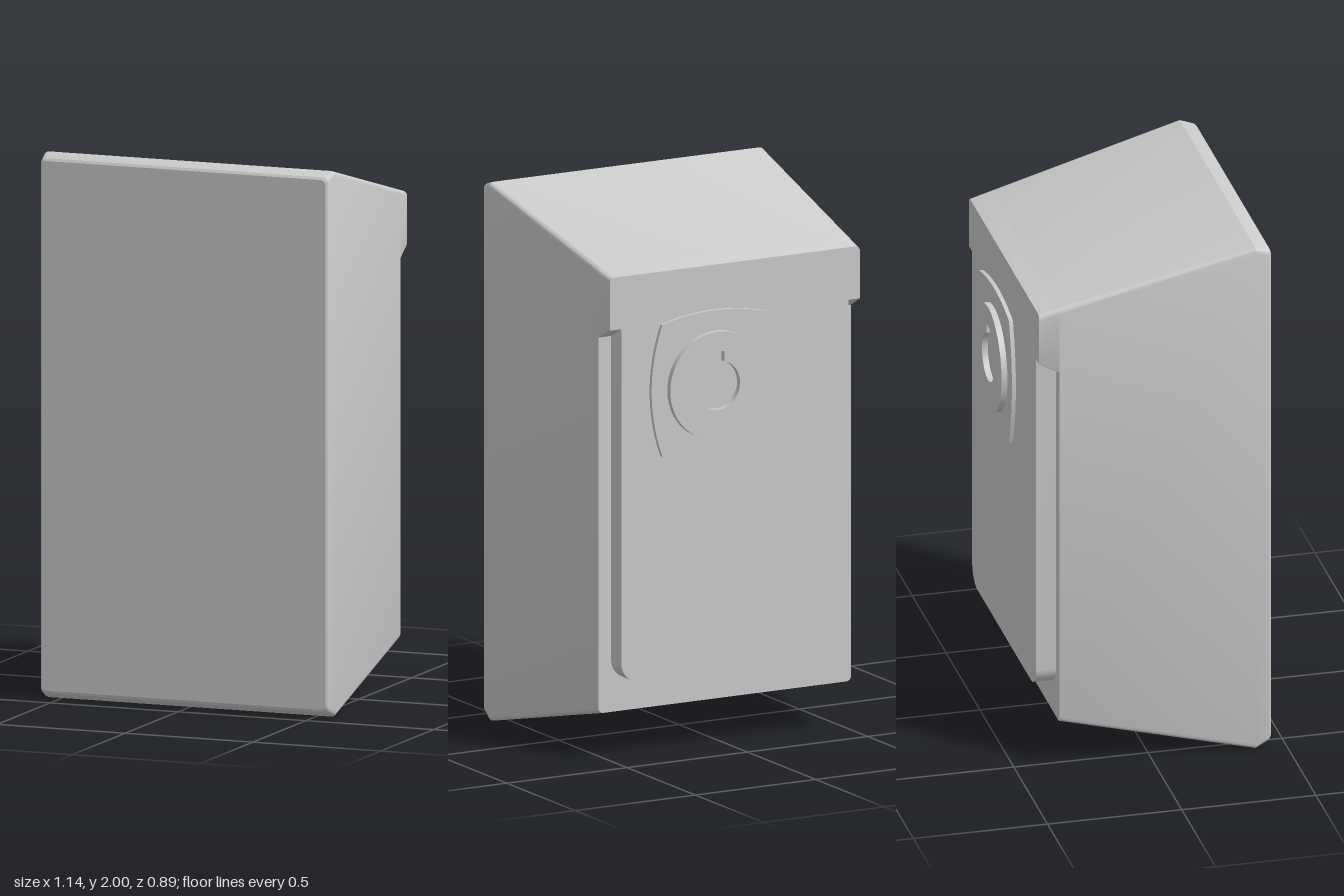
import * as THREE from 'three';
import { toCreasedNormals } from 'three/addons/utils/BufferGeometryUtils.js';

const material = new THREE.MeshStandardMaterial({ color: 0xcccccc });

// Rounded rectangle outline, counter-clockwise seen from +z
function ringPoints({ z, hw, y0, y1, rTop = 0.02, rBottom = 0.02 }) {
  const points = [];
  const corners = [[1, y0, rBottom, -90], [1, y1, rTop, 0], [-1, y1, rTop, 90], [-1, y0, rBottom, 180]];
  for (const [side, y, r, start] of corners) {
    const cx = side * (hw - r);
    const cy = y === y0 ? y + r : y - r;
    for (let i = 0; i <= 4; i++) {
      const a = THREE.MathUtils.degToRad(start + i * 22.5);
      points.push(new THREE.Vector3(cx + r * Math.cos(a), cy + r * Math.sin(a), z));
    }
  }
  return points;
}

// Closed solid through rings running from front to back
function loft(sections) {
  const rings = sections.map(ringPoints);
  const n = rings[0].length;
  const pos = [];
  const tri = (...vs) => vs.forEach((v) => pos.push(v.x, v.y, v.z));
  const centre = (s) => new THREE.Vector3(0, (s.y0 + s.y1) / 2, s.z);
  const last = rings.length - 1;
  for (let k = 0; k < n; k++) {
    const m = (k + 1) % n;
    for (let i = 0; i < last; i++) {
      const [a, b, c, d] = [rings[i][k], rings[i][m], rings[i + 1][m], rings[i + 1][k]];
      tri(a, d, c);
      tri(a, c, b);
    }
    tri(centre(sections[0]), rings[0][k], rings[0][m]);
    tri(centre(sections[last]), rings[last][m], rings[last][k]);
  }
  const geometry = new THREE.BufferGeometry();
  geometry.setAttribute('position', new THREE.Float32BufferAttribute(pos, 3));
  return toCreasedNormals(geometry, 0.45);
}

// Plate between two depths
function plate(shape, zBack, zFront) {
  const geometry = new THREE.ExtrudeGeometry(shape, { depth: zFront - zBack, bevelEnabled: false, curveSegments: 24 });
  geometry.translate(0, 0, zBack);
  return toCreasedNormals(geometry, 0.45);
}

export function createModel() {
  const model = new THREE.Group();
  const add = (name, geometry, parent = model) => {
    const mesh = new THREE.Mesh(geometry, material);
    mesh.name = name;
    parent.add(mesh);
  };

  // Tapered housing with a chamfered front
  add('housing', loft([
    { z: 0.445, hw: 0.555, y0: 0.033, y1: 1.975 },
    { z: 0.438, hw: 0.562, y0: 0.023, y1: 1.984 },
    { z: 0.385, hw: 0.572, y0: 0, y1: 2 },
    { z: -0.335, hw: 0.525, y0: 0.17, y1: 1.819 },
  ]));

  // Full-width hood above the door
  add('hood', loft([
    { z: -0.335, hw: 0.525, y0: 1.565, y1: 1.819, rBottom: 0.002 },
    { z: -0.41, hw: 0.52, y0: 1.605, y1: 1.8, rBottom: 0.002 },
  ]));

  // Raised door with rounded lower corners
  const w = 0.472, bottom = 0.29, top = 1.605, r = 0.075;
  const door = new THREE.Shape();
  door.moveTo(w, top);
  door.lineTo(-w, top);
  door.lineTo(-w, bottom + r);
  door.absarc(-w + r, bottom + r, r, Math.PI, Math.PI * 1.5);
  door.absarc(w - r, bottom + r, r, Math.PI * 1.5, Math.PI * 2);
  door.closePath();
  add('door', plate(door, -0.41, -0.335));

  // Lock
  const lock = new THREE.Group();
  lock.name = 'lock';
  lock.position.set(0.09, 1.36, 0);
  model.add(lock);

  // Mounting plate with four bowed sides
  const cx = 0.22, cy = 0.245, bowX = 0.31, bowY = 0.305;
  const base = new THREE.Shape();
  base.moveTo(cx, -cy);
  base.quadraticCurveTo(bowX, 0, cx, cy);
  base.quadraticCurveTo(0, bowY, -cx, cy);
  base.quadraticCurveTo(-bowX, 0, -cx, -cy);
  base.quadraticCurveTo(0, -bowY, cx, -cy);
  add('lockPlate', plate(base, -0.425, -0.4), lock);

  // Round face with a notched key opening
  const face = new THREE.Shape();
  face.absarc(0, 0, 0.2, 0, Math.PI * 2);
  const keyhole = new THREE.Path();
  const half = 0.025, notch = Math.acos(half / 0.09);
  keyhole.absarc(0, 0, 0.09, Math.PI - notch, Math.PI * 2 + notch);
  keyhole.lineTo(half, 0.125);
  keyhole.lineTo(-half, 0.125);
  keyhole.closePath();
  face.holes.push(keyhole);
  add('lockFace', plate(face, -0.447, -0.42), lock);

  return model;
}
